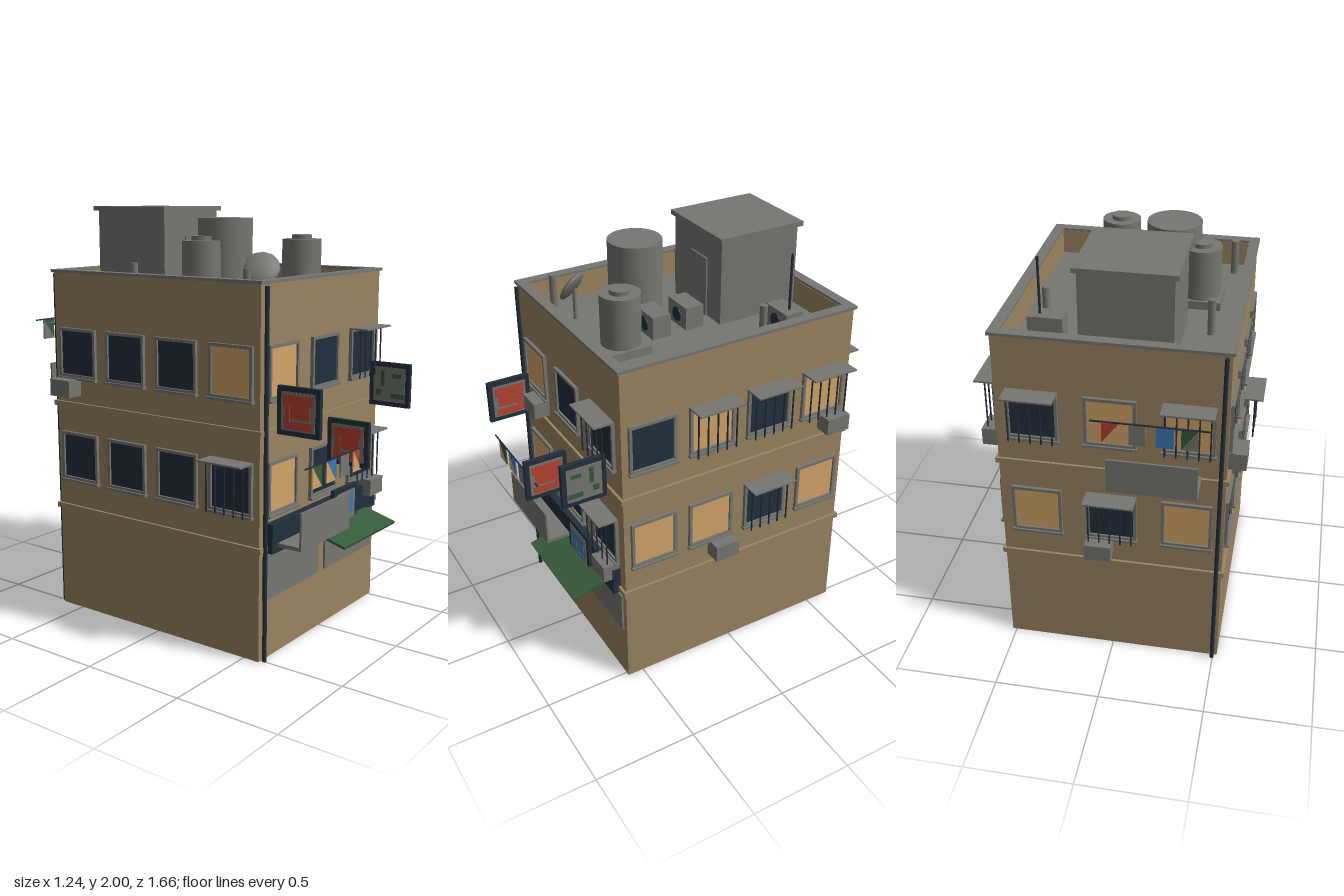
import * as THREE from 'three';

const paint = (name, color) => Object.assign(new THREE.MeshStandardMaterial({ color }), { name });
const wall = paint('tan wall', 0x9b8462);
const grey = paint('concrete grey', 0x767672);
const dark = paint('dark navy', 0x232f3d);
const lit = paint('lit glass', 0xd2a468);
const green = paint('awning green', 0x375a3d);
const red = paint('red', 0xb8432f);
const blue = paint('blue', 0x3d78b8);

function add(parent, name, geo, mat, x, y, z) {
  const m = new THREE.Mesh(geo, mat);
  m.name = name;
  m.position.set(x, y, z);
  parent.add(m);
  return m;
}
// Box given by its minimum and maximum corners
function span(parent, name, mat, x0, x1, y0, y1, z0, z1) {
  return add(parent, name, new THREE.BoxGeometry(x1 - x0, y1 - y0, z1 - z0), mat,
    (x0 + x1) / 2, (y0 + y1) / 2, (z0 + z1) / 2);
}
function rod(parent, name, mat, r, x, y0, y1, z, sides = 10) {
  return add(parent, name, new THREE.CylinderGeometry(r, r, y1 - y0, sides), mat, x, (y0 + y1) / 2, z);
}
function group(parent, name, x = 0, y = 0, z = 0, turn = 0) {
  const g = new THREE.Group();
  g.name = name;
  g.position.set(x, y, z);
  g.rotation.y = turn;
  parent.add(g);
  return g;
}

// Rectangular ring of four boxes
function ring(parent, name, mat, x, z0, z1, t, y0, y1) {
  span(parent, name, mat, -x, x, y0, y1, z1 - t, z1);
  span(parent, name, mat, -x, x, y0, y1, z0, z0 + t);
  for (const s of [-1, 1]) {
    add(parent, name, new THREE.BoxGeometry(t, y1 - y0, z1 - z0 - 2 * t), mat,
      s * (x - t / 2), (y0 + y1) / 2, (z0 + z1) / 2);
  }
}

// Window on a facade: local x along the wall, z outward
function windowUnit(facade, u, floor, glass, barred, ac) {
  const g = group(facade, 'window', u, floor ? 1.305 : 0.79, 0);
  span(g, 'glass', glass, -0.105, 0.105, -0.11, 0.11, 0, 0.006);
  for (const s of [-1, 1]) {
    add(g, 'frameSide', new THREE.BoxGeometry(0.014, 0.24, 0.016), grey, s * 0.11, 0, 0.008);
    add(g, 'frameRail', new THREE.BoxGeometry(0.206, 0.014, 0.016), grey, 0, s * 0.113, 0.008);
  }
  span(g, 'sill', grey, -0.122, 0.122, -0.13, -0.118, 0, 0.025);
  if (barred) {
    for (let i = -2; i <= 2; i++) rod(g, 'windowBar', dark, 0.004, i * 0.05, -0.118, 0.118, 0.055, 6);
    span(g, 'windowHood', grey, -0.117, 0.117, 0.117, 0.125, 0, 0.1);
  }
  if (ac) span(g, 'airConditioner', grey, ac - 0.0625, ac + 0.0625, -0.207, -0.125, 0, 0.082);
}

// Square sign with abstract coloured patches on both faces
function sign(parent, x, y, z, turn, mat, patches) {
  const g = group(parent, 'sign', x, y, z, turn);
  add(g, 'signCase', new THREE.BoxGeometry(0.215, 0.215, 0.022), dark, 0, 0, 0);
  add(g, 'signPanel', new THREE.BoxGeometry(0.17, 0.17, 0.027), grey, 0, 0, 0);
  for (const [px, py, w, h] of patches) {
    add(g, 'signPatch', new THREE.BoxGeometry(w, h, 0.031), mat, px, py, 0);
  }
}

// Clothes line with cloths split into two coloured triangles
function laundry(parent, x0, x1, y, z, cloths) {
  const g = group(parent, 'laundry');
  span(g, 'clothesLine', dark, x0, x1, y - 0.003, y + 0.003, z - 0.003, z + 0.003);
  for (const [x, w, a, b] of cloths) {
    const halves = [[[0, 0], [w, 0], [w, -0.1], a], [[0, 0], [w, -0.1], [0, -0.1], b]];
    for (const [p, q, r, mat] of halves) {
      const shape = new THREE.Shape([p, q, r].map(c => new THREE.Vector2(...c)));
      add(g, 'cloth', new THREE.ExtrudeGeometry(shape, { depth: 0.006, bevelEnabled: false }), mat, x, y, z - 0.003);
    }
  }
}

function balcony(parent, x0, x1, y, z0, z1, panelTop) {
  const out = Math.sign(z1 - z0);
  const g = group(parent, 'balcony');
  span(g, 'balconySlab', grey, x0, x1, y, y + 0.018, Math.min(z0, z1), Math.max(z0, z1));
  const inner = z1 - out * 0.01;
  span(g, 'balconyPanel', grey, x0, x1, y, panelTop, Math.min(inner, z1), Math.max(inner, z1));
}

function waterTank(parent, x, z) {
  const g = group(parent, 'smallTank', x, 0, z);
  span(g, 'tankBase', grey, -0.103, 0.103, 1.57, 1.61, -0.103, 0.103);
  rod(g, 'tankBody', grey, 0.093, 0, 1.61, 1.85, 0, 20);
  rod(g, 'tankLid', grey, 0.048, 0, 1.85, 1.87, 0, 20);
}

export function createModel() {
  const model = new THREE.Group();
  model.name = 'building';

  // Main block, floor bands, parapet and coping
  span(model, 'body', wall, -0.52, 0.52, 0, 1.56, -0.63, 0.58);
  for (const y of [0.51, 1.035]) span(model, 'floorBand', wall, -0.533, 0.533, y, y + 0.025, -0.643, 0.593);
  ring(model, 'parapet', wall, 0.52, -0.63, 0.58, 0.04, 1.56, 1.69);
  ring(model, 'coping', grey, 0.53, -0.643, 0.592, 0.05, 1.688, 1.702);
  span(model, 'roofDeck', grey, -0.48, 0.48, 1.56, 1.57, -0.59, 0.54);

  // Windows: [along wall, floor, glass, barred, air conditioner offset]
  const facades = [
    ['frontWall', 0, 0.58, 0, [
      [-0.35, 1, lit, 0, 0.055], [0, 1, dark, 0, 0], [0.35, 1, dark, 1, 0],
      [-0.35, 0, lit, 0, 0], [0, 0, dark, 0, 0], [0.35, 0, dark, 1, 0.05]]],
    ['backWall', 0, -0.63, Math.PI, [
      [-0.35, 1, dark, 1, 0], [0, 1, lit, 0, 0], [0.35, 1, lit, 1, 0],
      [-0.35, 0, lit, 0, 0], [0, 0, dark, 1, -0.055], [0.35, 0, lit, 0, 0]]],
    ['plusSideWall', 0.52, -0.025, Math.PI / 2, [
      [-0.455, 1, dark, 0, 0], [-0.152, 1, lit, 1, 0], [0.152, 1, dark, 1, 0], [0.455, 1, lit, 1, 0.055],
      [-0.455, 0, lit, 0, 0], [-0.152, 0, lit, 0, 0.055], [0.152, 0, dark, 1, 0], [0.455, 0, lit, 0, 0]]],
    ['minusSideWall', -0.52, -0.025, -Math.PI / 2, [
      [-0.455, 1, dark, 0, -0.055], [-0.152, 1, dark, 0, 0], [0.152, 1, dark, 0, 0], [0.455, 1, lit, 0, 0],
      [-0.455, 0, dark, 0, 0], [-0.152, 0, dark, 0, 0], [0.152, 0, dark, 0, 0], [0.455, 0, dark, 1, 0]]],
  ];
  for (const [name, x, z, turn, list] of facades) {
    const facade = group(model, name, x, 0, z, turn);
    for (const w of list) windowUnit(facade, ...w);
  }

  // Shop front: shutters, fascia board and sloping awning
  span(model, 'shutter', grey, -0.495, -0.03, 0.28, 0.49, 0.58, 0.59);
  span(model, 'shutter', grey, 0.03, 0.49, 0.28, 0.49, 0.58, 0.59);
  span(model, 'fasciaBoard', dark, -0.47, 0.47, 0.5, 0.635, 0.58, 0.618);
  const awning = add(model, 'awning', new THREE.BoxGeometry(0.495, 0.012, 0.192), green, 0.128, 0.488, 0.69);
  awning.rotation.x = 0.27;

  // Balconies and washing
  balcony(model, -0.43, -0.005, 0.525, 0.58, 0.74, 0.7);
  balcony(model, -0.41, -0.01, 1.05, -0.63, -0.79, 1.215);
  laundry(model, -0.48, 0.045, 0.915, 0.785,
    [[-0.425, 0.08, green, lit], [-0.305, 0.08, blue, lit], [-0.185, 0.075, grey, grey], [-0.07, 0.075, red, lit]]);
  laundry(model, -0.46, 0.045, 1.435, -0.83,
    [[-0.41, 0.07, green, grey], [-0.31, 0.075, blue, blue], [-0.19, 0.07, grey, grey], [-0.08, 0.075, red, lit]]);

  // Signs
  const redPatches = [[0, 0.05, 0.15, 0.045], [-0.01, 0, 0.1, 0.06], [0.055, -0.01, 0.025, 0.08], [0, -0.06, 0.14, 0.035]];
  const greenPatches = [[-0.04, 0.045, 0.05, 0.02], [0.035, 0.03, 0.02, 0.08], [-0.045, -0.055, 0.07, 0.025], [0.055, -0.04, 0.03, 0.03]];
  const bluePatches = [[0, 0.05, 0.13, 0.03], [-0.04, 0, 0.035, 0.07], [0.04, 0, 0.035, 0.07], [0, -0.055, 0.04, 0.03]];
  sign(model, -0.42, 1.145, 0.715, Math.PI / 2, red, redPatches);
  sign(model, 0, 0.932, 0.722, Math.PI / 2, red, redPatches);
  sign(model, 0.413, 1.145, 0.715, Math.PI / 2, green, greenPatches);
  sign(model, 0.14, 0.567, 0.625, 0, blue, bluePatches);

  // Drain pipes
  for (const z of [0.597, -0.647]) rod(model, 'drainPipe', dark, 0.01, -0.497, 0, 1.68, z);

  // Stair house
  const house = group(model, 'stairHouse');
  span(house, 'stairHouseWalls', grey, -0.265, 0.147, 1.57, 1.98, -0.565, -0.148);
  span(house, 'stairHouseRoof', grey, -0.283, 0.165, 1.978, 2, -0.585, -0.133);
  span(house, 'stairHouseDoor', grey, -0.11, 0.03, 1.57, 1.86, -0.15, -0.14);

  // Water tanks
  rod(model, 'largeTank', grey, 0.128, -0.16, 1.57, 1.95, 0.132, 24);
  waterTank(model, -0.295, 0.1);
  waterTank(model, 0.135, 0.367);

  // Roof machines, vents and mast
  for (const [x, z] of [[0.33, -0.38], [0.04, -0.025], [0.05, 0.155]]) {
    span(model, 'roofMachine', grey, x - 0.08, x + 0.08, 1.57, 1.68, z - 0.047, z + 0.047);
    rod(model, 'machineFan', dark, 0.035, x, 1.62, 1.628, z + 0.048, 16).rotation.x = Math.PI / 2;
  }
  for (const [x, z] of [[0.37, -0.235], [-0.385, -0.235], [-0.42, 0.44]]) {
    rod(model, 'ventPipe', grey, 0.018, x, 1.57, 1.74, z);
  }
  rod(model, 'mast', dark, 0.006, 0.36, 1.57, 1.95, -0.385, 8);

  // Tilted dish on a post
  rod(model, 'dishPost', grey, 0.01, -0.255, 1.57, 1.73, 0.405);
  const dish = add(model, 'dish', new THREE.SphereGeometry(0.082, 12, 8), grey, -0.265, 1.735, 0.412);
  dish.scale.y = 0.25;
  dish.quaternion.setFromUnitVectors(new THREE.Vector3(0, 1, 0), new THREE.Vector3(-0.7, 0.53, 0.48).normalize());

  return model;
}
